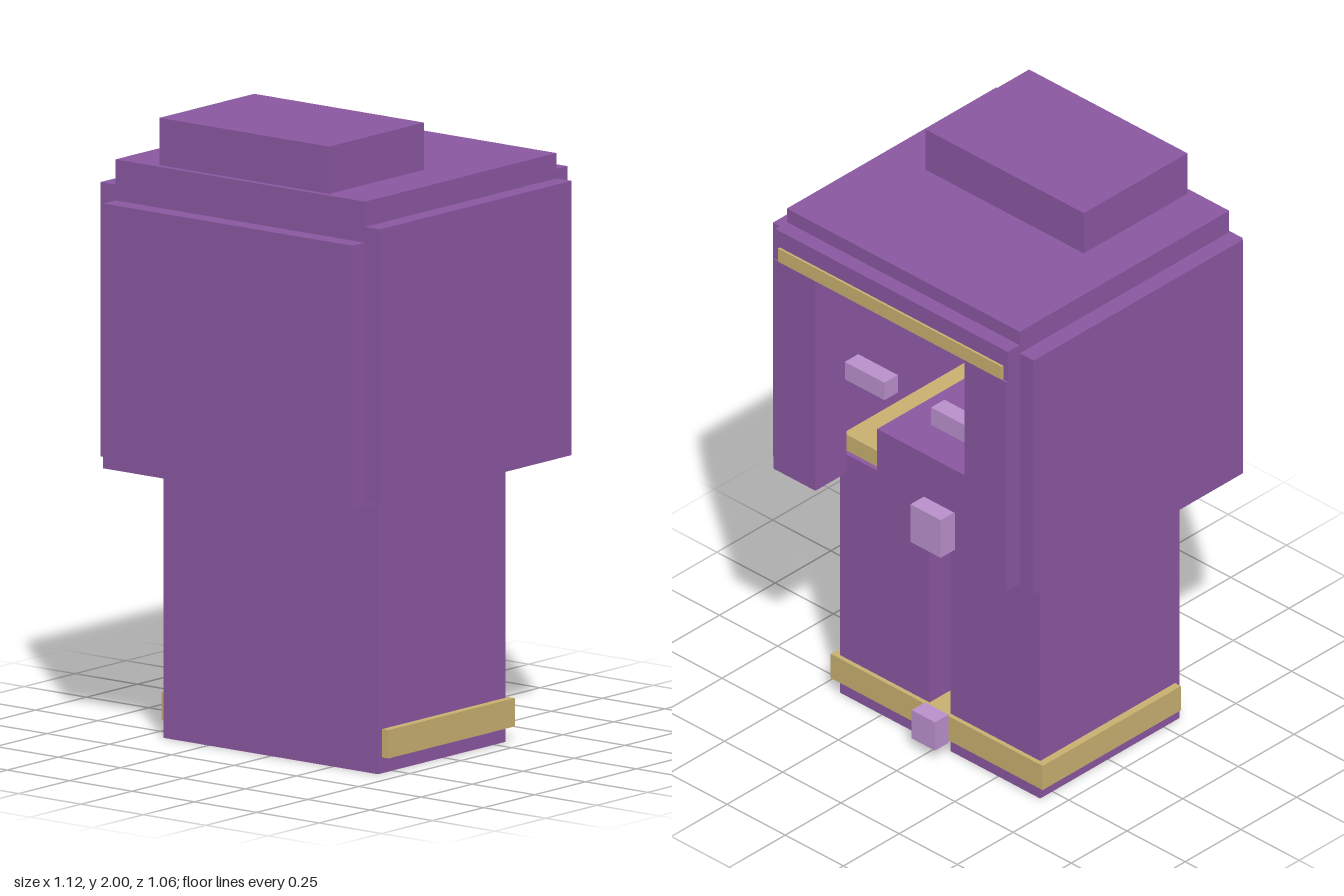
import * as THREE from 'three';

export function createModel() {
  const model = new THREE.Group();
  const mat = (name, color) => {
    const m = new THREE.MeshStandardMaterial({ color });
    m.name = name;
    return m;
  };
  const purple = mat('purple cloth', 0x8a57a1);
  const gold = mat('gold trim', 0xc8b070);
  const lilac = mat('lilac clasp', 0xba90cc);

  // Box from its low and high limits on each axis
  const box = (name, material, [x0, x1], [y0, y1], [z0, z1]) => {
    const mesh = new THREE.Mesh(new THREE.BoxGeometry(x1 - x0, y1 - y0, z1 - z0), material);
    mesh.position.set((x0 + x1) / 2, (y0 + y1) / 2, (z0 + z1) / 2);
    mesh.name = name;
    model.add(mesh);
  };
  // The same box on both sides of the model
  const pair = (name, material, [x0, x1], y, z) => {
    box('left' + name, material, [x0, x1], y, z);
    box('right' + name, material, [-x1, -x0], y, z);
  };

  // Hood: peak, crown and thick walls, open towards -z
  box('hoodPeak', purple, [-0.34, 0.34], [1.85, 2], [-0.015, 0.45]);
  box('hoodCrown', purple, [-0.5, 0.5], [1.71, 1.85], [-0.47, 0.47]);
  box('hoodWall', purple, [-0.5, 0.5], [0.88, 1.72], [0.38, 0.53]);
  pair('HoodSide', purple, [0.43, 0.56], [0.9, 1.77], [-0.47, 0.47]);
  pair('HoodPost', purple, [0.32, 0.5], [0.91, 1.69], [-0.53, -0.39]);
  box('hoodLintel', purple, [-0.5, 0.5], [1.69, 1.8], [-0.523, -0.39]);
  box('hoodTrim', gold, [-0.48, 0.48], [1.691, 1.74], [-0.531, -0.523]);

  // Eyes inside the hood
  pair('Eye', lilac, [0.1, 0.27], [1.31, 1.375], [-0.45, -0.39]);

  // Collar and gold shoulder bands
  box('collar', purple, [-0.265, 0.265], [0.9, 1.06], [-0.31, 0.3]);
  pair('ShoulderBand', gold, [0.265, 0.45], [0.901, 0.96], [-0.29, 0.3]);

  // Robe with a slit along the open side
  pair('RobeHalf', purple, [0.045, 0.43], [0, 0.9], [-0.305, 0.25]);
  box('robeBack', purple, [-0.43, 0.43], [0, 0.9], [0.25, 0.32]);
  box('hemBand', gold, [-0.455, 0.455], [0.05, 0.14], [-0.32, 0.3]);

  // Clasps over the slit
  box('upperClasp', lilac, [-0.065, 0.065], [0.76, 0.9], [-0.37, -0.305]);
  box('lowerClasp', lilac, [-0.05, 0.05], [0.04, 0.145], [-0.38, -0.319]);

  return model;
}
